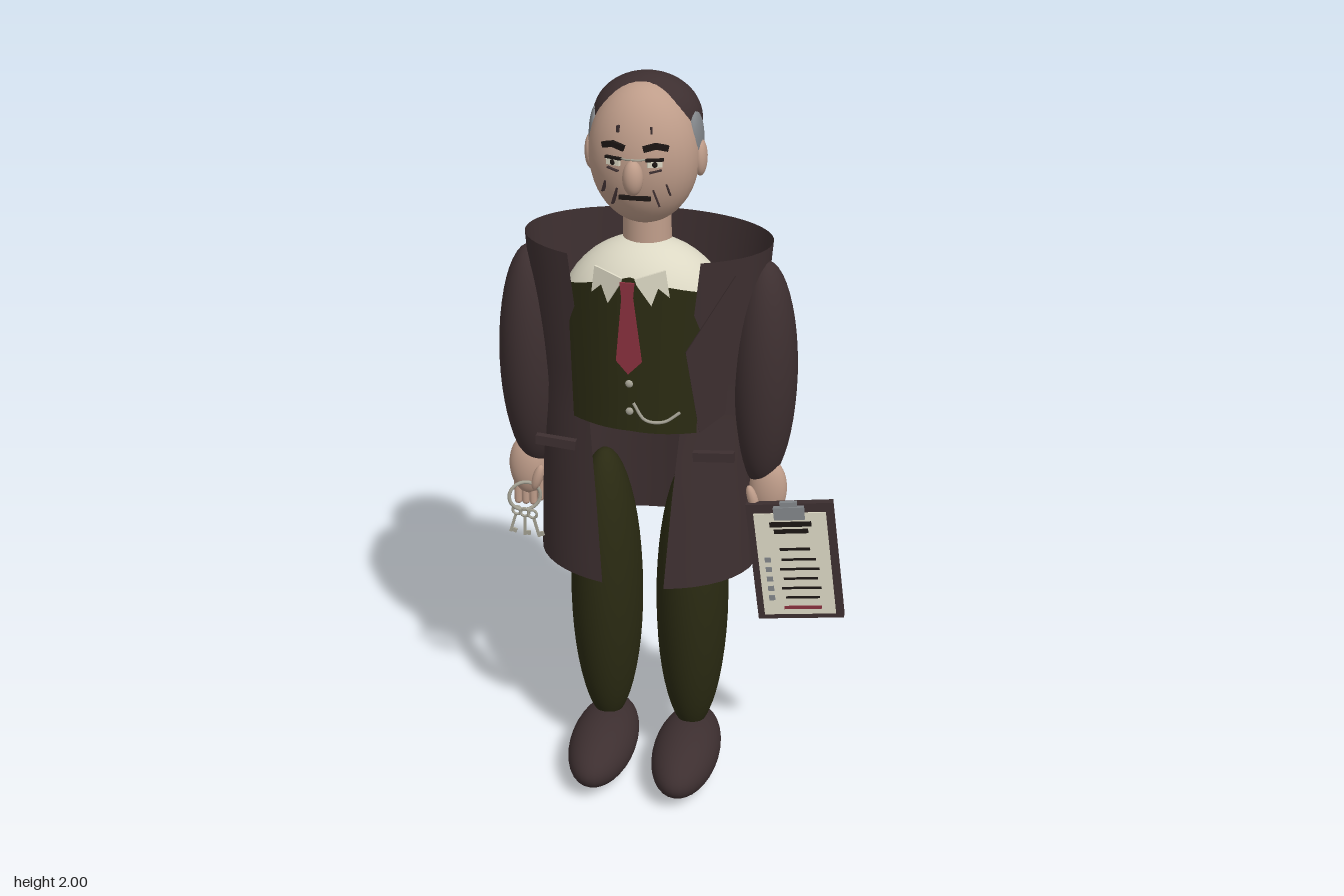
import * as THREE from 'three';

const mat = (name, color, side = THREE.FrontSide) => {
  const m = new THREE.MeshStandardMaterial({ color, side });
  m.name = name;
  return m;
};

export function createModel() {
  const brown = mat('dark brown cloth', 0x3d2f30, THREE.DoubleSide);
  const green = mat('dark olive cloth', 0x2a2a12, THREE.DoubleSide);
  const skin = mat('skin', 0xbf9d8a);
  const cream = mat('cream', 0xdcd8c4, THREE.DoubleSide);
  const red = mat('tie red', 0x8a303e, THREE.DoubleSide);
  const grey = mat('grey', 0x82868a);
  const black = mat('near black', 0x1c1614);
  const metal = mat('metal', 0xa5a294);

  const model = new THREE.Group();
  const body = new THREE.Group();
  body.name = 'person';
  body.position.x = -0.083;
  model.add(body);

  const add = (name, geo, m, p = [0, 0, 0], r = [0, 0, 0], parent = body) => {
    const mesh = new THREE.Mesh(geo, m);
    mesh.name = name;
    mesh.position.set(...p);
    mesh.rotation.set(...r);
    parent.add(mesh);
    return mesh;
  };
  const ball = (name, m, p, s, r, seg = 32) =>
    add(name, new THREE.SphereGeometry(1, seg, seg * 0.75), m, p, r).scale.set(...s);
  const box = (name, m, size, p, r, parent) => add(name, new THREE.BoxGeometry(...size), m, p, r, parent);
  const tube = (name, m, pts, rad, parent) => add(name, new THREE.TubeGeometry(
    new THREE.CatmullRomCurve3(pts.map(q => new THREE.Vector3(...q))), 16, rad, 6), m, undefined, undefined, parent);
  // surface from a rule f(u, v) -> [x, y, z]
  const sheet = (name, m, nu, nv, f) => {
    const g = new THREE.PlaneGeometry(1, 1, nu, nv), p = g.attributes.position;
    for (let i = 0; i < p.count; i++) p.setXYZ(i, ...f(p.getX(i) + 0.5, p.getY(i) + 0.5));
    g.computeVertexNormals();
    return add(name, g, m);
  };
  // thin cut-out plate
  const plate = (name, m, pts, p, r, depth = 0.006) => add(name, new THREE.ExtrudeGeometry(
    new THREE.Shape(pts.map(q => new THREE.Vector2(...q))), { depth, bevelEnabled: false }), m, p, r);

  // torso and neck
  ball('shirt', cream, [0, 1.37, -0.012], [0.225, 0.23, 0.164]);
  add('neck', new THREE.CylinderGeometry(0.058, 0.062, 0.16, 24), skin, [0, 1.63, -0.033]);

  // coat shell, open at the front: y, half width, depth, centre z, half opening
  const rows = [
    [0.695, 0.295, 0.218, -0.03, 0.082],
    [0.95, 0.285, 0.2, -0.032, 0.1],
    [1.2, 0.285, 0.182, -0.037, 0.122],
    [1.59, 0.315, 0.2, -0.045, 0.165],
  ];
  const coatRow = y => {
    let i = 0;
    while (i < 2 && y > rows[i + 1][0]) i++;
    const t = (y - rows[i][0]) / (rows[i + 1][0] - rows[i][0]);
    return rows[i].map((a, k) => a + (rows[i + 1][k] - a) * t);
  };
  sheet('coat', brown, 40, 14, (u, v) => {
    const [y, rx, rz, cz, open] = coatRow(0.695 + v * 0.895);
    const a0 = Math.asin(open / rx);
    const a = a0 + (1 - u) * (2 * Math.PI - 2 * a0);
    return [rx * Math.sin(a), y, cz + rz * Math.cos(a)];
  });

  // waistcoat, lapel, collar and tie
  sheet('waistcoat', green, 14, 8, (u, v) => {
    const x = (u - 0.5) * 0.34;
    const low = 1.155 - 0.1 * Math.max(0, x), high = 1.51 + 0.28 * (0.17 - Math.abs(x));
    return [x * (0.93 + 0.07 * v), low + (high - low) * v, 0.187 - 1.9 * x * x - 0.02 * v];
  });
  plate('lapel', brown, [[0.21, 1.565], [0.09, 1.37], [0.125, 1.15], [0.19, 1.2]],
    [0.05, 0, 0.188], [0, 0.32, 0]);
  for (const s of [-1, 1]) {
    plate('collarWing', cream, [[s * 0.015, 1.56], [s * 0.09, 1.58], [s * 0.1, 1.51],
      [s * 0.072, 1.535], [s * 0.055, 1.49], [s * 0.02, 1.545]], [0, 0, 0.185], [0, s * 0.3, 0]);
  }
  plate('tie', red, [[-0.018, 1.555], [0.018, 1.555], [0.014, 1.515], [0.034, 1.35],
    [0, 1.315], [-0.03, 1.35], [-0.014, 1.515]], [0, 0, 0.193]);
  for (const y of [1.285, 1.21]) ball('button', metal, [0, y, 0.188], [0.01, 0.01, 0.006], undefined, 12);
  tube('watchChain', metal, [[0.01, 1.235, 0.19], [0.04, 1.19, 0.19], [0.085, 1.185, 0.182], [0.125, 1.21, 0.17]], 0.004);

  // mirrored limbs
  for (const s of [-1, 1]) {
    box('pocketFlap', brown, [0.105, 0.025, 0.018], [s * 0.205, 1.08, 0.14], [0, 0, s * 0.08]);
    ball('sleeve', brown, [s * 0.302, 1.242, -0.018], [0.087, 0.31, 0.107]);
    ball('trouserLeg', green, [s * 0.12, 0.55, -0.026], [0.098, 0.435, 0.121]);
    ball('shoe', brown, [s * 0.12, 0.084, 0.052], [0.093, 0.083, 0.194]);
    ball('hand', skin, [s * 0.325, 0.93, 0.003], [0.05, 0.085, 0.036]);
    for (let i = 0; i < 4; i++) {
      add('finger', new THREE.CapsuleGeometry(0.011, 0.06, 4, 8), skin,
        [s * (0.292 + i * 0.021), 0.85 + (i === 0 ? 0.015 : 0), 0.006]);
    }
    ball('thumb', skin, [s * 0.29, 0.91, 0.035], [0.014, 0.04, 0.014], [0, 0, s * 0.3], 12);
  }

  // head
  ball('head', skin, [0, 1.815, -0.005], [0.136, 0.175, 0.118]);
  ball('hair', brown, [0, 1.89, -0.047], [0.134, 0.11, 0.116]);
  const face = (x, y) => -0.002 + 0.118 * Math.sqrt(1 - (x / 0.136) ** 2 - ((y - 1.815) / 0.175) ** 2);
  const onFace = (name, m, x, y, w, h, tilt = 0) =>
    box(name, m, [w, h, 0.009], [x, y, face(x, y)], [0, Math.atan(x * 7), tilt]);
  ball('nose', skin, [0, 1.79, 0.122], [0.025, 0.043, 0.026], undefined, 20);
  onFace('mouth', black, 0, 1.735, 0.078, 0.01);
  for (const s of [-1, 1]) {
    ball('greySideHair', grey, [s * 0.119, 1.838, -0.033], [0.022, 0.085, 0.053], [0.15, 0, 0], 20);
    ball('ear', skin, [s * 0.135, 1.805, -0.022], [0.017, 0.046, 0.028], undefined, 20);
    for (const [k, t] of [[0.038, 0.25], [0.065, -0.25]]) {
      onFace('eyebrow', black, s * k, 1.862, 0.032, 0.014, s * t);
    }
    onFace('eyeWhite', cream, s * 0.05, 1.823, 0.036, 0.014);
    ball('iris', black, [s * 0.05, 1.823, face(0.05, 1.823) + 0.002], [0.008, 0.008, 0.006], undefined, 10);
    onFace('upperLid', black, s * 0.05, 1.833, 0.044, 0.006);
    onFace('eyeBag', brown, s * 0.052, 1.805, 0.03, 0.003, s * 0.2);
    onFace('mouthCrease', brown, s * 0.05, 1.735, 0.005, 0.045, s * 0.35);
    onFace('cheekCrease', brown, s * 0.078, 1.755, 0.004, 0.03, s * 0.35);
    onFace('foreheadCrease', brown, s * 0.04, 1.9, 0.005, 0.016);
    tube('glassesWire', metal, [[s * 0.028, 1.835, 0.115], [s * 0.016, 1.838, 0.132], [0, 1.84, 0.138]], 0.0025);
  }

  // key ring in the right hand
  const keys = new THREE.Group();
  keys.name = 'keys';
  keys.position.set(-0.325, 0.855, 0.045);
  body.add(keys);
  add('keyRing', new THREE.TorusGeometry(0.042, 0.005, 8, 24), metal, [0, 0, 0], [0, 0.4, 0], keys);
  [-0.5, -0.05, 0.4].forEach((a, i) => {
    const key = new THREE.Group();
    key.name = 'key';
    key.position.set(-0.02 + i * 0.02, -0.035, i * 0.006);
    key.rotation.z = a * 0.6;
    keys.add(key);
    add('keyBow', new THREE.TorusGeometry(0.012, 0.004, 6, 14), metal, [0, -0.012, 0], undefined, key);
    box('keyShaft', metal, [0.007, 0.06, 0.006], [0, -0.052, 0], undefined, key);
    box('keyBit', metal, [0.016, 0.012, 0.005], [0.008, -0.074, 0], undefined, key);
  });

  // clipboard in the left hand
  const board = new THREE.Group();
  board.name = 'clipboard';
  board.position.set(0.328, 0.752, 0.058);
  board.rotation.set(-0.06, 0, 0.14);
  model.add(board);
  box('board', brown, [0.228, 0.335, 0.022], [0, 0, 0], undefined, board);
  box('paper', cream, [0.19, 0.295, 0.006], [0, -0.005, 0.013], undefined, board);
  box('clip', grey, [0.08, 0.035, 0.014], [0, 0.145, 0.018], undefined, board);
  box('clipTop', grey, [0.045, 0.02, 0.012], [0, 0.165, 0.014], undefined, board);
  const line = (m, w, h, x, y) => box('paperMark', m, [w, h, 0.003], [x, y, 0.017], undefined, board);
  line(black, 0.11, 0.014, 0, 0.112);
  line(black, 0.09, 0.012, 0, 0.092);
  line(black, 0.08, 0.007, 0.005, 0.04);
  for (let i = 0; i < 5; i++) {
    line(grey, 0.016, 0.014, -0.07, 0.01 - i * 0.028);
    line(black, 0.09 + (i % 2) * 0.015, 0.006, 0.012, 0.01 - i * 0.028);
  }
  line(red, 0.1, 0.009, 0.01, -0.132);
  return model;
}
